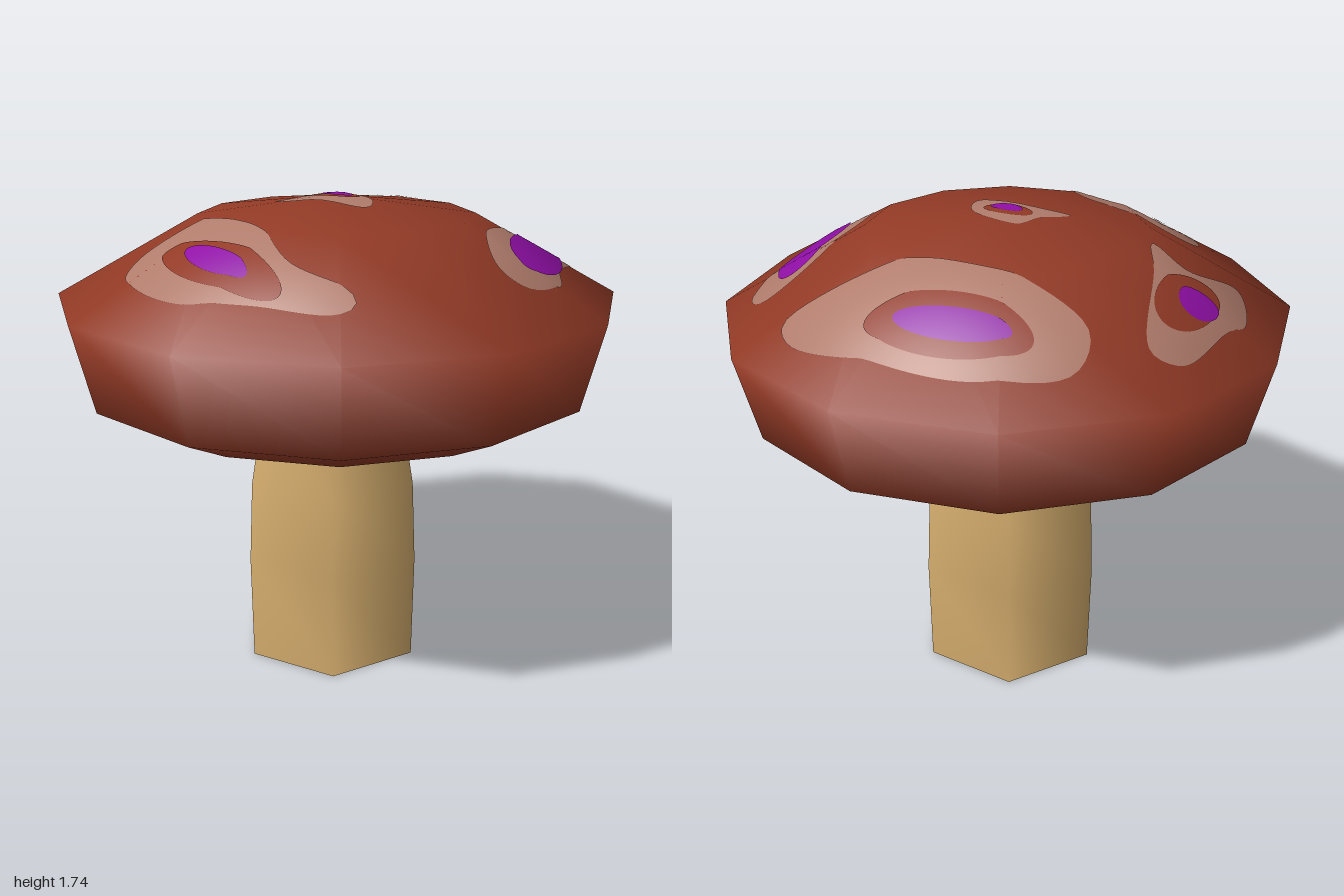
import * as THREE from 'three';
import { mergeVertices } from 'three/addons/utils/BufferGeometryUtils.js';

const SIDES = 12;
const SEGMENTS = 64;
// Upper cap profile: radius, height, and tilt of the smooth normal
const TOP = [
  { r: 0, y: 1.735, tilt: 0 },
  { r: 0.49, y: 1.67, tilt: 0.42 },
  { r: 1, y: 1.385, tilt: 1.05 },
];

// Height and smooth normal of the faceted cap above a point
function capSurface(x, z) {
  const step = (Math.PI * 2) / SIDES;
  const angle = Math.atan2(z, x);
  const middle = (Math.floor(angle / step) + 0.5) * step;
  const s = (Math.hypot(x, z) * Math.cos(angle - middle)) / Math.cos(step / 2);
  const [a, b] = s < TOP[1].r ? [TOP[0], TOP[1]] : [TOP[1], TOP[2]];
  const t = (s - a.r) / (b.r - a.r);
  const tilt = THREE.MathUtils.lerp(a.tilt, b.tilt, t);
  const normal = new THREE.Vector3(
    Math.sin(tilt) * Math.cos(angle), Math.cos(tilt), Math.sin(tilt) * Math.sin(angle));
  return { y: THREE.MathUtils.lerp(a.y, b.y, t), normal };
}

// Irregular outline: smooth closed curve through a few x, z pairs in hundredths
function blob(...pairs) {
  const points = [];
  for (let i = 0; i < pairs.length; i += 2) {
    points.push(new THREE.Vector3(pairs[i] / 100, 0, pairs[i + 1] / 100));
  }
  return new THREE.CatmullRomCurve3(points, true).getSpacedPoints(SEGMENTS).slice(0, SEGMENTS);
}

// Oval outline: centre, half length and half width in hundredths, and turn in degrees
function oval(x, z, length, width, degrees) {
  const turn = THREE.MathUtils.degToRad(degrees);
  return Array.from({ length: SEGMENTS }, (_, i) => {
    const t = (i / SEGMENTS) * Math.PI * 2;
    const u = length * Math.cos(t), v = width * Math.sin(t);
    return new THREE.Vector3(
      (x + u * Math.cos(turn) - v * Math.sin(turn)) / 100, 0,
      (z + u * Math.sin(turn) + v * Math.cos(turn)) / 100);
  });
}

// Thin patch draped over the cap, built as rings from its centre to its outline
function patchGeometry(edge, lift) {
  const n = SEGMENTS, rings = 12;
  const centre = new THREE.Vector3();
  edge.forEach((p) => centre.addScaledVector(p, 1 / n));
  const position = [], normals = [], index = [];
  for (let j = 0; j <= rings; j++) {
    for (let i = 0; i < n; i++) {
      const p = centre.clone().lerp(edge[i], j / rings);
      const { y, normal } = capSurface(p.x, p.z);
      position.push(p.x, y + lift, p.z);
      normals.push(normal.x, normal.y, normal.z);
      if (j === rings) continue;
      const a = j * n + i, b = j * n + ((i + 1) % n);
      index.push(a, b + n, a + n);
      if (j > 0) index.push(a, b, b + n);
    }
  }
  const geometry = new THREE.BufferGeometry();
  geometry.setAttribute('position', new THREE.Float32BufferAttribute(position, 3));
  geometry.setAttribute('normal', new THREE.Float32BufferAttribute(normals, 3));
  geometry.setIndex(index);
  return geometry;
}

// Lathe with normals smoothed across the seam and the poles
function smoothLathe(profile, sides, start = 0) {
  const points = profile.map(([r, y]) => new THREE.Vector2(r, y));
  let geometry = new THREE.LatheGeometry(points, sides, start);
  geometry.deleteAttribute('uv');
  geometry.deleteAttribute('normal');
  geometry = mergeVertices(geometry, 1e-4);
  geometry.computeVertexNormals();
  return geometry;
}

export function createModel() {
  const material = (name, color) => {
    const m = new THREE.MeshStandardMaterial({ color });
    m.name = name;
    return m;
  };
  const capRed = material('cap red brown', 0x923a26);
  const stemTan = material('stem tan', 0xd6ae6e);
  const paleSpot = material('pale spot', 0xb07c6c);
  const purple = material('spot purple', 0x900fa6);

  const model = new THREE.Group();
  model.name = 'mushroom';
  const add = (parent, name, geometry, mat) => {
    const mesh = new THREE.Mesh(geometry, mat);
    mesh.name = name;
    parent.add(mesh);
    return mesh;
  };

  // Cap
  const capProfile = [[0, 0.985], [0.725, 0.985], [0.925, 1.08],
    ...TOP.map(({ r, y }) => [r, y]).reverse()];
  add(model, 'cap', smoothLathe(capProfile, SIDES), capRed);

  // Six-sided stem, set slightly back, with a flat base
  const stem = new THREE.Group();
  stem.name = 'stem';
  stem.position.z = -0.036;
  model.add(stem);
  const stemProfile = [[0.348, 0], [0.355, 0.4], [0.341, 0.7], [0.288, 1.0]];
  add(stem, 'stemShaft', smoothLathe(stemProfile, 6, Math.PI / 2), stemTan);
  add(stem, 'stemBase', new THREE.CircleGeometry(0.348, 6), stemTan).rotation.x = Math.PI / 2;

  // Layered spots: pale patch, purple core and, on most, a ring between them
  const addSpot = (name, pale, core, ring) => {
    const spot = new THREE.Group();
    spot.name = name;
    model.add(spot);
    add(spot, 'spotPatch', patchGeometry(pale, 0.003), paleSpot);
    if (ring) add(spot, 'spotRing', patchGeometry(ring, 0.006), capRed);
    add(spot, 'spotCore', patchGeometry(core, 0.009), purple);
  };
  addSpot('backRightSpot',
    blob(-62, -49, -49, -71, -38, -75, -14, -85, -6, -80, -26, -51, -37, -35, -43, -46),
    oval(-35, -64, 7.5, 6.5, -40), oval(-32, -62, 17, 9, -31));
  addSpot('backLeftSpot',
    blob(9, -68, 21, -79, 46, -70, 70, -43, 85, -13, 82, -2, 46, -13, 24, -38),
    oval(45, -48, 19, 5.5, 46), oval(46, -47, 27, 11, 46));
  addSpot('rightSpot',
    blob(-78, -5, -65, -19, -48, -13, -40, 8, -42, 41, -33, 67, -40, 70, -58, 51, -74, 31),
    oval(-58, 22, 16.5, 4.5, 82), oval(-58, 25, 28, 8.5, 77));
  addSpot('frontLeftSpot',
    blob(23, 64, 33, 43, 57, 27, 81, 24, 82, 33, 59, 52, 43, 70, 28, 72),
    oval(53, 46, 25, 9, -45));
  addSpot('crownSpot',
    blob(-19, -11, -7, -11, 3, -13, 10, 1, 8, 11, 0, 19, -10, 1),
    oval(0, 0, 6, 3.5, 60), oval(0, -1, 9, 5, 55));
  return model;
}
